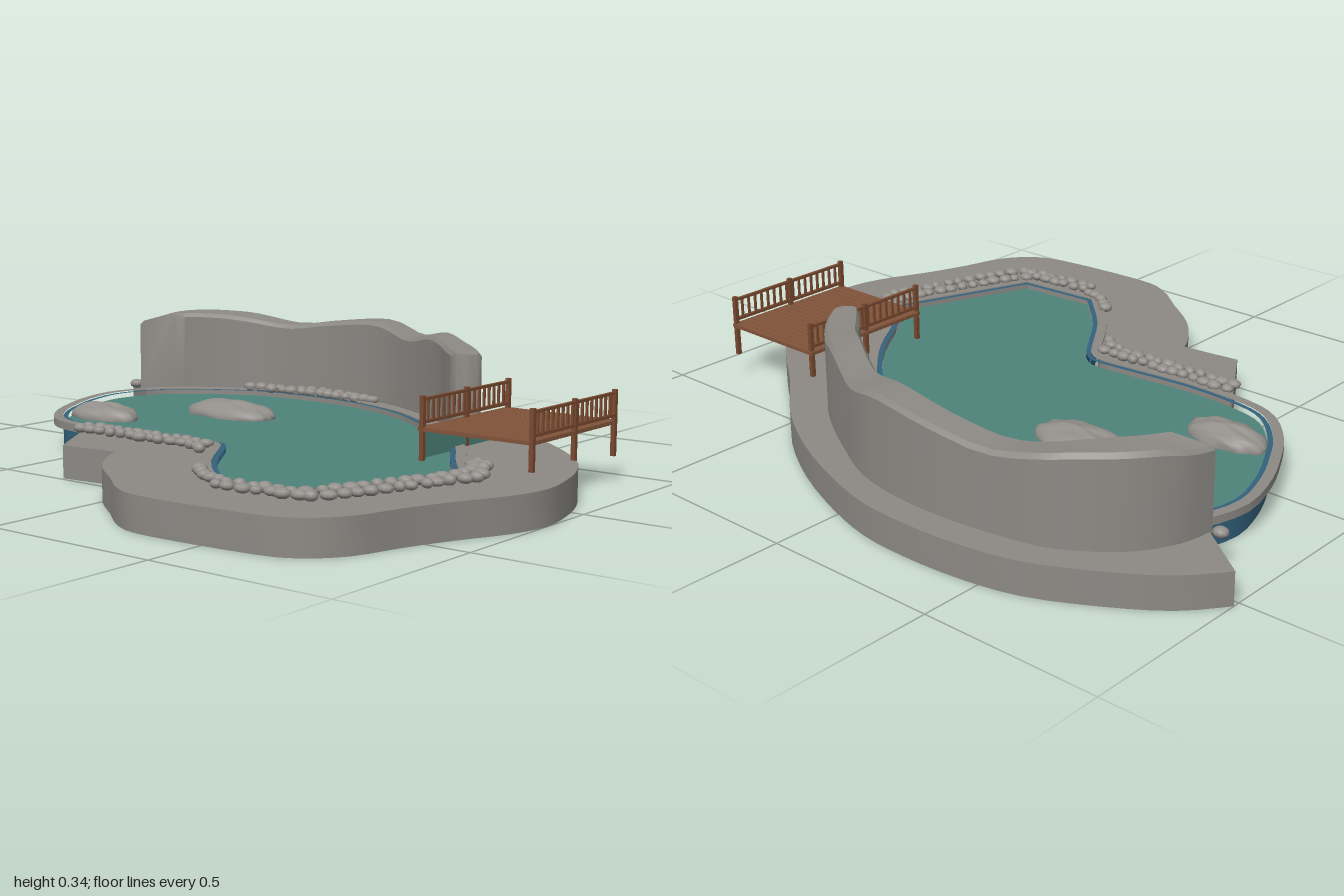
import * as THREE from 'three';
import { toCreasedNormals } from 'three/addons/utils/BufferGeometryUtils.js';

const mat = (name, color) => {
  const m = new THREE.MeshStandardMaterial({ color });
  m.name = name;
  return m;
};
const stone = mat('stone', 0x8d8a85);
const rock = mat('rock', 0x938f8b);
const water = mat('water', 0x4e837b);
const liner = mat('poolLiner', 0x33627d);
const plank = mat('deckWood', 0x82543a);
const railWood = mat('railWood', 0x7a4a30);

const v2 = ([x, z]) => new THREE.Vector2(x, z);
const spline = (pts, n) => new THREE.SplineCurve(pts.map(v2)).getPoints(n);

// Pool edge as (x, z): a smooth run plus one sharp corner
const poolRun = [[.34, .57], [.2, .43], [.09, .27], [.045, .22], [-.02, .205], [-.29, .23], [-.48, .22],
  [-.58, .185], [-.665, .095], [-.72, 0], [-.77, -.11], [-.8, -.24], [-.77, -.36], [-.72, -.43], [-.61, -.51],
  [-.48, -.57], [-.29, -.585], [-.13, -.57], [.03, -.52], [.16, -.45], [.32, -.33], [.43, -.23], [.54, -.11],
  [.64, .04], [.735, .165]];
const poolEdge = [...spline(poolRun, 72), new THREE.Vector2(.58, .555)];

// Push a closed outline outward by d, with mitred corners
function offset(pts, d) {
  const n = pts.length;
  const normal = (a, b) => {
    const t = b.clone().sub(a).normalize();
    return new THREE.Vector2(t.y, -t.x);
  };
  return pts.map((p, i) => {
    const n1 = normal(pts[(i + n - 1) % n], p), n2 = normal(p, pts[(i + 1) % n]);
    const m = n1.clone().add(n2).normalize();
    return p.clone().addScaledVector(m, -d / Math.max(.5, m.dot(n1)));
  });
}
// In plan, the outline runs front, left, back, right, so outward needs the opposite sign
const grow = d => offset(poolEdge, area(offset(poolEdge, .01)) > area(poolEdge) ? d : -d);
const area = pts => Math.abs(THREE.ShapeUtils.area(pts));

// Upright slab from a plan outline, with an optional hole
function slab(name, outline, hole, y0, y1, material) {
  const flip = pts => pts.map(p => new THREE.Vector2(p.x, -p.y));
  const shape = new THREE.Shape(flip(outline));
  if (hole) shape.holes.push(new THREE.Path(flip(hole)));
  const g = new THREE.ExtrudeGeometry(shape, { depth: y1 - y0, bevelEnabled: false });
  g.rotateX(-Math.PI / 2).translate(0, y0, 0);
  const m = new THREE.Mesh(toCreasedNormals(g, .45), material);
  m.name = name;
  return m;
}

function box(parent, name, size, pos, material) {
  const m = new THREE.Mesh(new THREE.BoxGeometry(...size), material);
  m.position.set(...pos);
  m.name = name;
  parent.add(m);
}

// Curved garden wall with a wavy, slightly rounded top
function buildWall() {
  const N = 48;
  const outer = spline([[-.85, -.4], [-.83, -.5], [-.77, -.6], [-.68, -.675], [-.56, -.73], [-.29, -.765],
    [-.05, -.74], [.14, -.65], [.3, -.55], [.4, -.46], [.46, -.38], [.448, -.342]], N);
  const inner = spline([[-.75, -.46], [-.725, -.49], [-.68, -.535], [-.6, -.6], [-.5, -.648], [-.29, -.672],
    [-.07, -.645], [.1, -.57], [.25, -.475], [.33, -.4], [.4, -.335], [.425, -.33]], N);
  const crest = spline([[-.85, .31], [-.8, .335], [-.65, .33], [-.46, .302], [-.3, .32], [-.1, .337], [.06, .307],
    [.2, .33], [.32, .315], [.46, .31]], 80);
  const height = x => {
    const i = crest.findIndex(c => c.x >= x);
    if (i <= 0) return i ? .31 : crest[0].y;
    const a = crest[i - 1], b = crest[i];
    return a.y + (b.y - a.y) * (x - a.x) / (b.x - a.x);
  };
  const pos = [], idx = [];
  outer.forEach((o, i) => {
    const q = inner[i];
    const across = (t, y) => pos.push(o.x + (q.x - o.x) * t, y, o.y + (q.y - o.y) * t);
    const ho = height(o.x), hi = height(q.x);
    across(0, .085); across(0, ho - .012); across(.1, ho);
    across(.9, hi); across(1, hi - .012); across(1, .085);
    if (i < N) for (let k = 0; k < 6; k++) {
      const a = i * 6 + k, b = i * 6 + (k + 1) % 6;
      idx.push(a, b, a + 6, b, b + 6, a + 6);
    }
  });
  const e = N * 6;
  for (let k = 1; k < 5; k++) idx.push(0, k + 1, k, e, e + k, e + k + 1);
  const g = new THREE.BufferGeometry();
  g.setAttribute('position', new THREE.Float32BufferAttribute(pos, 3));
  g.setIndex(idx);
  const m = new THREE.Mesh(toCreasedNormals(g, .6), stone);
  m.name = 'gardenWall';
  return m;
}

// Wooden deck: planks across, railings along both long sides
function buildDeck() {
  const deck = new THREE.Group();
  deck.name = 'deck';
  const count = 20, pitch = .43 / count;
  for (let i = 0; i < count; i++)
    box(deck, 'deckPlank', [.34, .01, pitch - .0025], [.7, .162, .027 - (i + .5) * pitch], plank);
  for (const x of [.541, .865]) {
    for (const z of [.02, -.185, -.392]) box(deck, 'railPost', [.012, .177, .012], [x, .16, z], railWood);
    box(deck, 'topRail', [.01, .007, .42], [x, .239, -.186], railWood);
    box(deck, 'lowerRail', [.01, .008, .42], [x, .18, -.186], railWood);
    for (let i = 1; i < 17; i++) box(deck, 'railPicket', [.006, .06, .006], [x, .21, .02 - i * .0242], railWood);
  }
  // Panel of water colour below the deck
  const panel = new THREE.Mesh(new THREE.PlaneGeometry(.415, .07), water);
  panel.rotation.y = Math.PI / 2;
  panel.position.set(.545, .122, -.186);
  panel.name = 'underDeckPanel';
  deck.add(panel);
  return deck;
}

// Flat boulder with wavy ridges
function boulder(x, z, rx, rz, phase) {
  const g = new THREE.SphereGeometry(1, 28, 16);
  const p = g.attributes.position, v = new THREE.Vector3();
  for (let i = 0; i < p.count; i++) {
    v.fromBufferAttribute(p, i);
    const s = 1 + .05 * Math.sin(5 * v.x + 7 * v.z + phase) + .04 * Math.sin(11 * v.z - 4 * v.x + 3 * v.y + phase);
    v.multiplyScalar(s);
    p.setXYZ(i, v.x * rx, v.y * .042, v.z * rz);
  }
  g.computeVertexNormals();
  const m = new THREE.Mesh(g, rock);
  m.position.set(x, .083, z);
  m.name = 'boulder';
  return m;
}

// Rows of small pebbles along the pool
function buildPebbles() {
  const group = new THREE.Group();
  group.name = 'pebbles';
  let seed = 7;
  const rnd = () => (seed = (seed * 16807) % 2147483647) / 2147483647;
  const ball = new THREE.SphereGeometry(1, 9, 6);
  const add = (x, z) => {
    const m = new THREE.Mesh(ball, rock), r = .015 + rnd() * .007;
    m.scale.set(r * 1.1, .011 + rnd() * .004, r * .95);
    m.rotation.y = rnd() * .8 - .4;
    m.position.set(x, .102, z);
    m.name = 'pebble';
    group.add(m);
  };
  const rows = [
    [[-.4, .275], [.03, .275]], [[-.4, .312], [.02, .308], [.065, .34]],
    [[.72, .04], [.775, .15], [.765, .24], [.64, .56], [.6, .615], [.42, .63], [.31, .6], [.245, .545]],
    [[.76, .07], [.825, .2], [.79, .3], [.69, .58], [.65, .635], [.4, .665]],
    [[-.55, -.594], [-.42, -.63], [-.29, -.645], [-.18, -.637], [-.08, -.61]],
    [[-.46, -.6], [-.29, -.618], [-.14, -.602]],
    [[.465, -.32], [.5, -.28], [.48, -.25], [.52, -.22]],
  ];
  for (const row of rows) {
    const path = new THREE.CurvePath();
    for (let i = 1; i < row.length; i++) path.add(new THREE.LineCurve(v2(row[i - 1]), v2(row[i])));
    const n = Math.max(1, Math.round(path.getLength() / .037));
    for (let i = 0; i <= n; i++) {
      const p = path.getPoint(i / n);
      add(p.x + (rnd() - .5) * .01, p.y + (rnd() - .5) * .01);
    }
  }
  add(-.88, -.41);
  return group;
}

export function createModel() {
  const model = new THREE.Group();
  model.name = 'gardenPool';

  // Ground wraps the pool but leaves its left end open
  const border = grow(.035);
  const ground = [...spline([[-1, -.52], [-.91, -.625], [-.77, -.72], [-.61, -.8], [-.45, -.835], [-.28, -.845],
    [-.13, -.835], [.03, -.79], [.22, -.71], [.4, -.6], [.56, -.46], [.74, -.32], [.87, -.19], [.94, -.07],
    [.98, .05], [1, .17], [.975, .29], [.91, .43], [.86, .56], [.82, .69], [.75, .775], [.645, .815], [.35, .835],
    [.23, .81], [.11, .72], [0, .635], [-.08, .535], [-.115, .47]], 81), ...[[-.29, .49], [-.43, .27]].map(v2),
    ...border.slice(0, 18).reverse(), border[73], ...border.slice(36, 73).reverse()];
  model.add(slab('ground', ground, null, 0, .09, stone));

  // Pool: floor, liner wall, stone coping and water
  const shell = grow(.014);
  model.add(slab('poolFloor', shell, null, 0, .02, liner));
  model.add(slab('poolLiner', shell, poolEdge, .02, .094, liner));
  model.add(slab('coping', grow(.042), shell, .075, .097, stone));
  model.add(slab('water', poolEdge, null, .07, .08, water));

  model.add(buildWall(), buildDeck(), buildPebbles());
  model.add(boulder(-.31, -.22, .155, .08, 0), boulder(-.57, .05, .122, .066, 2));
  return model;
}
